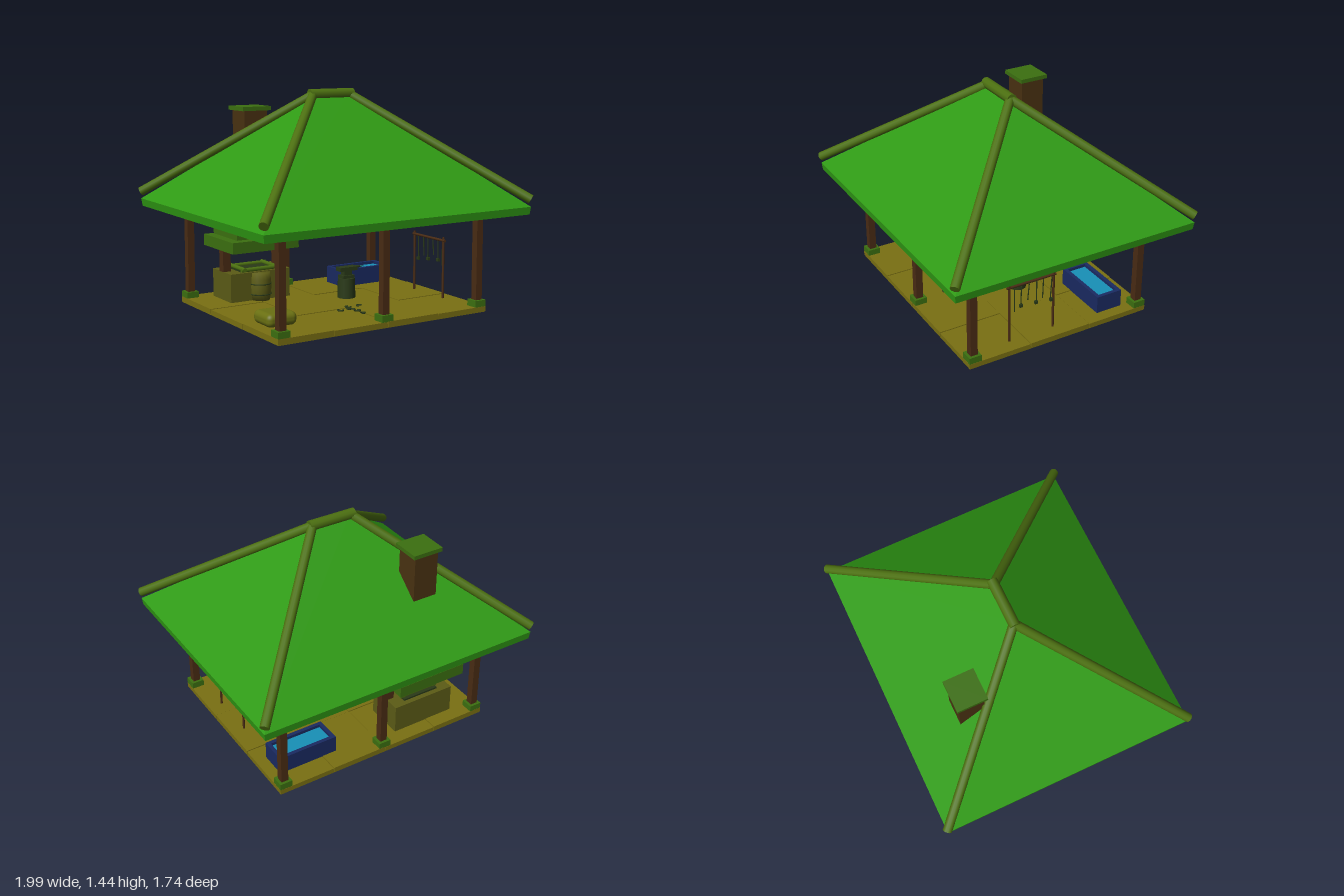
import * as THREE from 'three';
import { RoundedBoxGeometry } from 'three/addons/geometries/RoundedBoxGeometry.js';

const mat = (color, flatShading = false) => new THREE.MeshStandardMaterial({ color, flatShading });
const M = {
  roof: mat(0x2f9a14, true), log: mat(0x4c7010), floor: mat(0x7a7012), wood: mat(0x4a2c14),
  brick: mat(0x4a3212), hood: mat(0x3c7010), stone: mat(0x5c5c16), iron: mat(0x2a3a18),
  trough: mat(0x1a2a62), water: mat(0x1890b8), sack: mat(0x6a7012),
};

export function createModel() {
  const model = new THREE.Group();

  const add = (parent, name, geometry, material, x = 0, y = 0, z = 0) => {
    const mesh = new THREE.Mesh(geometry, material);
    mesh.name = name;
    mesh.position.set(x, y, z);
    parent.add(mesh);
    return mesh;
  };
  const group = (name) => {
    const g = new THREE.Group();
    g.name = name;
    model.add(g);
    return g;
  };
  // box given by its lower and upper limits on each axis
  const box = (parent, name, material, x0, x1, y0, y1, z0, z1) =>
    add(parent, name, new THREE.BoxGeometry(x1 - x0, y1 - y0, z1 - z0), material,
      (x0 + x1) / 2, (y0 + y1) / 2, (z0 + z1) / 2);
  // round bar between two points
  const bar = (parent, name, material, a, b, r, sides = 10) => {
    const p = new THREE.Vector3(...a), q = new THREE.Vector3(...b);
    const mesh = add(parent, name, new THREE.CylinderGeometry(r, r, p.distanceTo(q), sides), material);
    mesh.position.copy(p).lerp(q, 0.5);
    mesh.quaternion.setFromUnitVectors(new THREE.Vector3(0, 1, 0), q.sub(p).normalize());
    return mesh;
  };

  // paved floor, four slabs by three
  const floor = group('floor');
  const sx = 1.56 / 4, sz = 1.31 / 3;
  for (let i = 0; i < 4; i++) for (let j = 0; j < 3; j++) {
    const x = -0.78 + i * sx, z = -0.655 + j * sz, top = 0.04 - ((i + j) % 2) * 0.003;
    box(floor, 'floorSlab', M.floor, x + 0.002, x + sx - 0.002, 0.005, top, z + 0.002, z + sz - 0.002);
  }
  box(floor, 'floorBase', M.floor, -0.775, 0.775, 0, 0.025, -0.65, 0.65);

  // posts on stone feet, joined by beams
  const frame = group('frame');
  for (const z of [-0.61, 0.61]) {
    for (const x of [-0.735, 0, 0.735]) {
      box(frame, 'postFoot', M.hood, x - 0.042, x + 0.042, 0.035, 0.08, z - 0.042, z + 0.042);
      box(frame, 'post', M.wood, x - 0.024, x + 0.024, 0.08, 0.67, z - 0.024, z + 0.024);
    }
    box(frame, 'longBeam', M.wood, -0.76, 0.76, 0.66, 0.7, z - 0.022, z + 0.022);
  }
  for (const x of [-0.735, 0.735]) box(frame, 'sideBeam', M.wood, x - 0.022, x + 0.022, 0.66, 0.7, -0.61, 0.61);

  // hipped roof shell: underside ridge, eave bottom, eave top, ridge
  const roof = group('roof');
  const ring = (x, y, z) => [[-x, y, z], [x, y, z], [x, y, -z], [-x, y, -z]];
  const rings = [ring(0.13, 1.345, 0), ring(0.968, 0.65, 0.84), ring(0.975, 0.7, 0.845), ring(0.13, 1.405, 0)];
  const verts = [];
  for (let i = 0; i < 3; i++) for (let j = 0; j < 4; j++) {
    const k = (j + 1) % 4;
    const [a, b, c, d] = [rings[i][j], rings[i][k], rings[i + 1][k], rings[i + 1][j]];
    verts.push(...a, ...b, ...c, ...a, ...c, ...d);
  }
  const shell = new THREE.BufferGeometry();
  shell.setAttribute('position', new THREE.Float32BufferAttribute(verts, 3));
  shell.computeVertexNormals();
  add(roof, 'roofShell', shell, M.roof);
  for (const x of [-1, 1]) for (const z of [-1, 1])
    bar(roof, 'hipLog', M.log, [x * 0.973, 0.748, z * 0.845], [x * 0.14, 1.405, 0], 0.03, 12);
  bar(roof, 'ridgeLog', M.log, [-0.163, 1.41, 0], [0.163, 1.41, 0], 0.035, 10);

  // forge: hearth, hood tiers and chimney
  const forge = group('forge');
  const cx = -0.368, cz = -0.425;
  const tier = (name, m, w, d, y0, y1) => box(forge, name, m, cx - w / 2, cx + w / 2, y0, y1, cz - d / 2, cz + d / 2);
  tier('hearth', M.stone, 0.445, 0.26, 0.035, 0.23);
  tier('coalBed', M.iron, 0.26, 0.19, 0.225, 0.242);
  for (const s of [-1, 1]) {
    bar(forge, 'hearthRimLong', M.log, [cx - 0.14, 0.247, cz + 0.03 + s * 0.09], [cx + 0.14, 0.247, cz + 0.03 + s * 0.09], 0.014, 8);
    bar(forge, 'hearthRimShort', M.log, [cx + s * 0.12, 0.25, cz - 0.075], [cx + s * 0.12, 0.25, cz + 0.135], 0.015, 8);
    box(forge, 'hoodPost', M.wood, cx + s * 0.198 - 0.028, cx + s * 0.198 + 0.028, 0.23, 0.385, cz - 0.028, cz + 0.028);
  }
  tier('hoodLowerTier', M.hood, 0.495, 0.42, 0.38, 0.455);
  tier('hoodNeck', M.brick, 0.2, 0.18, 0.45, 0.55);
  tier('hoodMiddleTier', M.hood, 0.39, 0.335, 0.46, 0.53);
  tier('hoodUpperTier', M.hood, 0.285, 0.24, 0.54, 0.61);
  tier('chimney', M.brick, 0.17, 0.165, 0.6, 1.3);
  tier('chimneyCap', M.hood, 0.21, 0.2, 1.295, 1.322);

  // barrel in front of the hearth
  const barrelProfile = [[0, 0.035], [0.064, 0.035], [0.074, 0.09], [0.075, 0.13], [0.073, 0.18], [0.066, 0.225], [0, 0.225]];
  const barrel = group('barrel');
  add(barrel, 'barrelBody', new THREE.LatheGeometry(barrelProfile.map((p) => new THREE.Vector2(...p)), 16), M.stone, cx, 0, -0.305);
  for (const y of [0.08, 0.15]) {
    const hoop = add(barrel, 'barrelHoop', new THREE.TorusGeometry(0.074, 0.004, 6, 20), M.iron, cx, y, -0.305);
    hoop.rotation.x = Math.PI / 2;
  }

  // water trough
  const trough = group('trough');
  box(trough, 'troughBottom', M.trough, 0.29, 0.7, 0.035, 0.06, -0.515, -0.33);
  for (const [x0, x1, z0, z1] of [[0.29, 0.7, -0.515, -0.49], [0.29, 0.7, -0.355, -0.33],
    [0.29, 0.315, -0.49, -0.355], [0.675, 0.7, -0.49, -0.355]])
    box(trough, 'troughWall', M.trough, x0, x1, 0.06, 0.155, z0, z1);
  box(trough, 'water', M.water, 0.315, 0.675, 0.06, 0.135, -0.49, -0.355);

  // anvil on a stump
  const anvil = group('anvil');
  const az = -0.053;
  add(anvil, 'stump', new THREE.CylinderGeometry(0.058, 0.061, 0.135, 14), M.iron, 0.155, 0.103, az);
  box(anvil, 'anvilFoot', M.iron, 0.11, 0.2, 0.17, 0.19, az - 0.033, az + 0.033);
  box(anvil, 'anvilWaist', M.iron, 0.125, 0.185, 0.19, 0.222, az - 0.022, az + 0.022);
  box(anvil, 'anvilFace', M.iron, 0.09, 0.225, 0.22, 0.246, az - 0.03, az + 0.03);
  const horn = add(anvil, 'anvilHorn', new THREE.ConeGeometry(0.02, 0.078, 10), M.iron, 0.261, 0.237, az);
  horn.rotation.z = -Math.PI / 2;
  horn.scale.x = 0.55;

  // rack with hanging tools
  const rack = group('toolRack');
  const rx = 0.683;
  for (const z of [0.32, 0]) bar(rack, 'rackPost', M.wood, [rx, 0.035, z], [rx, 0.45, z], 0.008, 8);
  bar(rack, 'rackRail', M.wood, [rx, 0.428, 0.338], [rx, 0.428, -0.015], 0.009, 8);
  [[0.292, 0.255], [0.242, 0.28], [0.187, 0.31], [0.133, 0.27], [0.084, 0.29], [0.022, 0.255]].forEach(([z, y], i) => {
    bar(rack, 'toolHandle', M.iron, [rx + 0.014, 0.425, z], [rx + 0.014, y, z + (i % 3) * 0.005], 0.004, 6);
    if (i % 2) box(rack, 'toolHead', M.iron, rx + 0.006, rx + 0.022, y - 0.006, y + 0.014, z - 0.007, z + 0.014);
  });

  // plump sack
  add(model, 'sack', new RoundedBoxGeometry(0.21, 0.085, 0.205, 4, 0.036), M.sack, -0.605, 0.08, 0.315);

  // loose horseshoes on the floor
  const shoes = group('horseshoes');
  [[-0.1, 0.27], [-0.05, 0.3], [-0.07, 0.36], [-0.01, 0.33], [-0.03, 0.25], [0.03, 0.29], [-0.02, 0.4]].forEach(([x, z], i) => {
    const shoe = add(shoes, 'horseshoe', new THREE.TorusGeometry(0.018, 0.005, 6, 12, Math.PI * 1.5), M.iron, x, 0.046 + (i % 3) * 0.01, z);
    shoe.rotation.set(Math.PI / 2, 0, i * 1.7);
  });

  return model;
}
